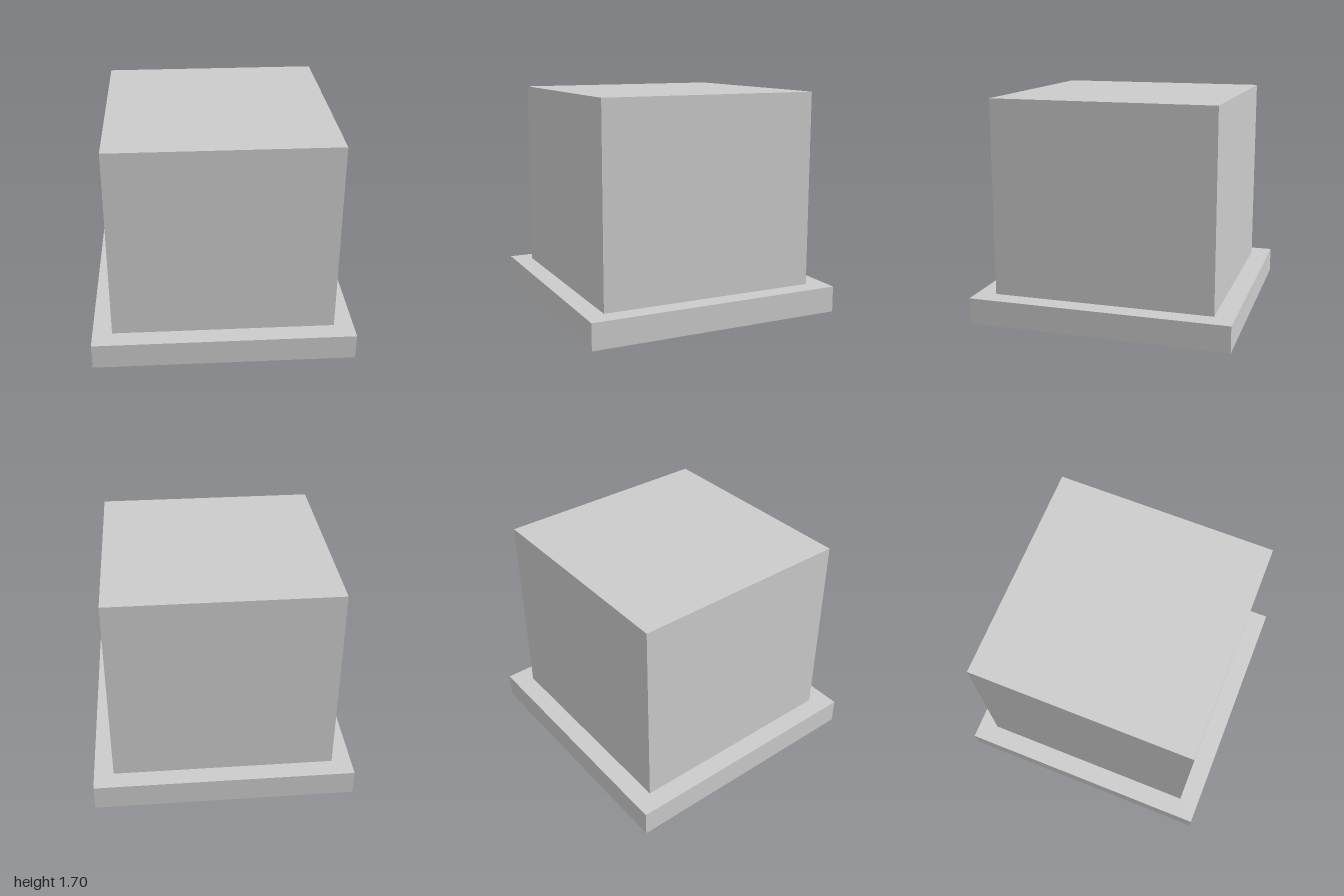
import * as THREE from 'three';

const material = new THREE.MeshStandardMaterial({ color: 0xcccccc });

// Box standing on the given height
function block(name, width, height, depth, bottom) {
  const mesh = new THREE.Mesh(new THREE.BoxGeometry(width, height, depth), material);
  mesh.name = name;
  mesh.position.y = bottom + height / 2;
  return mesh;
}

export function createModel() {
  const model = new THREE.Group();
  model.name = 'blockOnPlinth';
  model.add(
    block('basePlate', 2, 0.2, 2, 0), // wide, low square base
    block('body', 1.7, 1.5, 1.7, 0.2), // main block, inset on all sides
  );
  return model;
}
